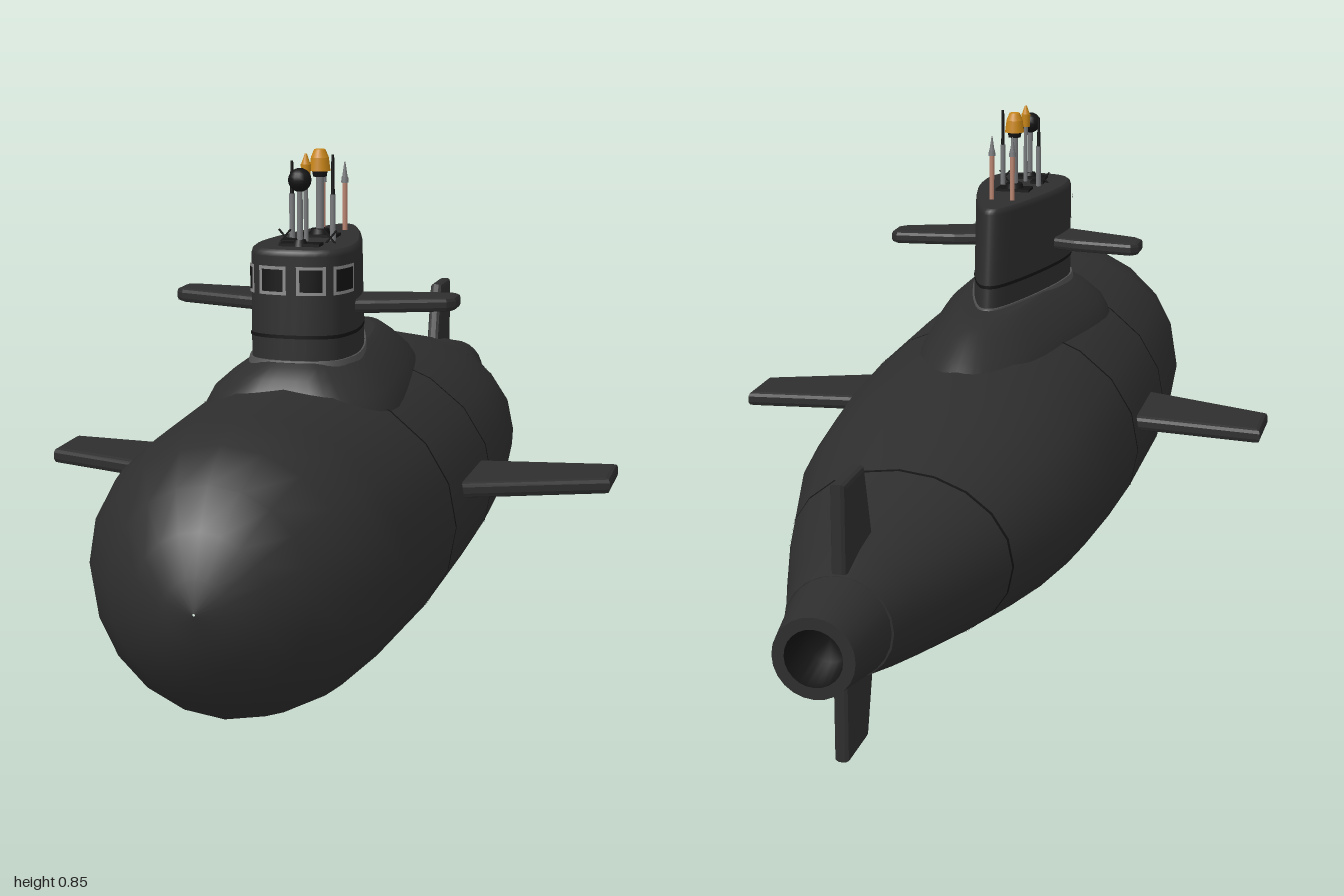
import * as THREE from 'three';

const mat = (name, color) => {
  const m = new THREE.MeshStandardMaterial({ color });
  m.name = name;
  return m;
};

// Skin a list of rings (each an array of Vector3), with optional flat cap on the last ring
function loft(rings, capEnd = false) {
  const n = rings[0].length, pos = [], idx = [];
  rings.forEach(r => r.forEach(p => pos.push(p.x, p.y, p.z)));
  for (let j = 0; j < rings.length - 1; j++) {
    for (let i = 0; i < n; i++) {
      const k = (i + 1) % n, a = j * n + i, b = a + n, c = j * n + k, d = c + n;
      idx.push(a, b, c, b, d, c);
    }
  }
  if (capEnd) {
    const last = rings[rings.length - 1], base = pos.length / 3;
    const mid = new THREE.Vector3();
    last.forEach(p => { pos.push(p.x, p.y, p.z); mid.addScaledVector(p, 1 / n); });
    pos.push(mid.x, mid.y, mid.z);
    for (let i = 0; i < n; i++) idx.push(base + i, base + n, base + (i + 1) % n);
  }
  const g = new THREE.BufferGeometry();
  g.setAttribute('position', new THREE.Float32BufferAttribute(pos, 3));
  g.setIndex(idx);
  g.computeVertexNormals();
  return g;
}

// Hull stations: z, top, bottom, half width
const HULL = [
  [0.998, 0.242, 0.238, 0.002], [0.99, 0.29, 0.19, 0.05], [0.965, 0.355, 0.14, 0.105],
  [0.92, 0.415, 0.078, 0.16], [0.85, 0.46, 0.03, 0.21], [0.78, 0.475, 0.012, 0.24],
  [0.71, 0.477, 0.006, 0.255], [0.42, 0.477, 0.002, 0.275], [0.1, 0.472, 0.008, 0.28],
  [-0.1, 0.46, 0.026, 0.273], [-0.22, 0.447, 0.038, 0.264], [-0.36, 0.432, 0.052, 0.243],
  [-0.55, 0.385, 0.086, 0.192], [-0.72, 0.356, 0.118, 0.138], [-0.81, 0.344, 0.136, 0.108],
  [-0.88, 0.325, 0.155, 0.088],
];
function hullRing(z, grow = 0) {
  let i = 0;
  while (i < HULL.length - 2 && HULL[i + 1][0] > z) i++;
  const A = HULL[i], B = HULL[i + 1], t = (z - A[0]) / (B[0] - A[0]);
  const [top, bot, w] = [1, 2, 3].map(k => A[k] + (B[k] - A[k]) * t);
  const h = (top - bot) / 2 + grow, cy = (top + bot) / 2;
  return Array.from({ length: 20 }, (_, k) => {
    const a = k / 20 * Math.PI * 2;
    return new THREE.Vector3((w + grow) * Math.sin(a), cy - h * Math.cos(a), z);
  });
}

// Plan outline: half template (width fraction, stern-to-bow fraction), mirrored and smoothed
const planCurve = half => new THREE.CatmullRomCurve3(
  [...half, ...half.slice(1, -1).reverse().map(([x, u]) => [-x, u])]
    .map(([x, u]) => new THREE.Vector3(x, 0, u)), true);
const planRing = (curve, y, back, front, w, n = 48) =>
  Array.from({ length: n }, (_, i) => {
    const p = curve.getPoint(i / n);
    return new THREE.Vector3(p.x * w, y, back + (front - back) * p.z);
  });
const SAIL = planCurve([[0, 0], [0.2, 0.03], [0.5, 0.2], [0.78, 0.43], [0.95, 0.62],
  [1, 0.78], [0.88, 0.91], [0.65, 0.97], [0, 1]]);
const FAIRING = planCurve([[0, 0], [0.36, 0.05], [0.68, 0.2], [0.92, 0.55], [1, 0.84],
  [0.65, 0.97], [0, 1]]);

// Flat outline given thickness, laid horizontally (x, z) or upright (z, y)
function plate(points, thick, upright) {
  const b = thick * 0.3;
  const shape = new THREE.Shape(points.map(([p, q]) =>
    upright ? new THREE.Vector2(-p, q) : new THREE.Vector2(p, -q)));
  const g = new THREE.ExtrudeGeometry(shape, {
    depth: thick - 2 * b, bevelEnabled: true, bevelSize: b, bevelOffset: -b,
    bevelThickness: b, bevelSegments: 2,
  });
  g.translate(0, 0, -thick / 2 + b);
  return upright ? g.rotateY(Math.PI / 2) : g.rotateX(-Math.PI / 2);
}

export function createModel() {
  const root = new THREE.Group();
  root.name = 'submarine';
  const hull = mat('hull charcoal', 0x2e2e2e), dark = mat('near black', 0x141414);
  const grey = mat('mast grey', 0x77797b), frame = mat('window frame grey', 0x8c8c8c);
  const trim = mat('base trim grey', 0x505050);
  const orange = mat('amber', 0xc98616), copper = mat('copper pink', 0xb98470);
  const add = (name, geo, m, parent = root) => {
    const mesh = new THREE.Mesh(geo, m);
    mesh.name = name;
    parent.add(mesh);
    return mesh;
  };

  // Pressure hull and panel seams
  add('hull', loft(HULL.map(s => hullRing(s[0])), true), hull);
  for (const z of [0.42, 0.1, -0.55])
    add('hullSeam', loft([hullRing(z + 0.003, 0.0012), hullRing(z - 0.003, 0.0012)]), dark);

  // Tail shroud, open at the stern
  const lathe = pts => new THREE.LatheGeometry(pts.map(p => new THREE.Vector2(...p)), 24)
    .rotateX(-Math.PI / 2).translate(0, 0.24, 0);
  add('tailShroud', lathe([[0.086, 0.868], [0.065, 1]]), hull);
  add('shroudRim', lathe([[0.065, 1], [0.046, 1]]), hull);
  add('shroudInside', lathe([[0.046, 1], [0.038, 0.92], [0, 0.92]]), dark);

  // Upper and lower rudders
  const rudder = [[-0.73, 0.31], [-0.775, 0.468], [-0.876, 0.468], [-0.876, 0.31]];
  add('upperRudder', plate(rudder, 0.026, true), hull);
  add('lowerRudder', plate(rudder.map(([z, y]) => [z, 0.484 - y]), 0.026, true), hull);

  // Hull planes and sail planes, mirrored
  for (const s of [1, -1]) {
    const side = s > 0 ? 'left' : 'right';
    const hp = plate([[0.2, 0.15], [0.2, 0.35], [0.51, 0.235], [0.51, 0.115]]
      .map(([x, z]) => [s * x, z]), 0.028, false);
    add(side + 'HullPlane', hp.translate(0, 0.279, 0), hull);
    const sp = plate([[0.05, 0.27], [0.05, 0.375], [0.12, 0.352], [0.235, 0.31], [0.248, 0.295],
      [0.248, 0.25], [0.235, 0.237], [0.12, 0.25]].map(([x, z]) => [s * x, z]), 0.024, false);
    add(side + 'SailPlane', sp.translate(0, 0.597, 0), hull);
  }

  // Fairing that blends the sail into the deck
  add('sailFairing', loft([
    [0.40, -0.24, 0.53, 0.172], [0.43, -0.21, 0.525, 0.163], [0.462, -0.165, 0.512, 0.146],
    [0.49, -0.12, 0.49, 0.115], [0.507, -0.08, 0.465, 0.092], [0.513, -0.03, 0.455, 0.08],
  ].map(a => planRing(FAIRING, ...a)), true), hull);

  // Sail with rounded top edge, groove and base trim
  add('sail', loft([
    [0.49, 0.034, 0.449, 0.089], [0.69, 0.056, 0.449, 0.088],
    [0.697, 0.059, 0.447, 0.086], [0.701, 0.065, 0.442, 0.081],
  ].map(a => planRing(SAIL, ...a)), true), hull);
  add('sailGroove', loft([0.553, 0.559].map(y => planRing(SAIL, y, 0.038, 0.451, 0.0905))), dark);
  add('sailBaseTrim', loft([[0.505, 0.026, 0.456, 0.095], [0.516, 0.03, 0.453, 0.092]]
    .map(a => planRing(SAIL, ...a)), true), trim);

  // Window frames wrapped around the front of the sail
  const path = new THREE.CatmullRomCurve3(planRing(SAIL, 0, 0.049, 0.451, 0.0905, 96), true);
  const wrap = (name, u0, u1, y0, y1, m) => {
    const g = new THREE.PlaneGeometry(1, 1, 8, 1), p = g.attributes.position;
    for (let i = 0; i < p.count; i++) {
      const c = path.getPointAt(u1 + (u0 - u1) * (p.getX(i) + 0.5));
      p.setXYZ(i, c.x, y0 + (y1 - y0) * (p.getY(i) + 0.5), c.z);
    }
    g.computeVertexNormals();
    add(name, g, m);
  };
  const du = 0.006, dy = 0.0055;
  for (const [a, b] of [[0.36, 0.425], [0.439, 0.491], [0.509, 0.561], [0.575, 0.64]]) {
    wrap('windowGlass', a + du, b - du, 0.626 + dy, 0.674 - dy, dark);
    wrap('windowFrameBottom', a, b, 0.626, 0.626 + dy, frame);
    wrap('windowFrameTop', a, b, 0.674 - dy, 0.674, frame);
    wrap('windowFrameSide', a, a + du, 0.626 + dy, 0.674 - dy, frame);
    wrap('windowFrameSide', b - du, b, 0.626 + dy, 0.674 - dy, frame);
  }

  // Masts: stacked tapered tubes [y0, y1, r0, r1, material]
  const mast = (name, x, z, parts) => {
    const g = new THREE.Group();
    g.name = name;
    g.position.set(x, 0, z);
    for (const [y0, y1, r0, r1, m] of parts)
      add(name + 'Section', new THREE.CylinderGeometry(r1, r0, y1 - y0, 12)
        .translate(0, (y0 + y1) / 2, 0), m, g);
    root.add(g);
    return g;
  };
  const radar = mast('sensorMast', 0, 0.39, [[0.7, 0.712, 0.014, 0.01, dark],
    [0.71, 0.8, 0.005, 0.005, grey]]);
  add('sensorHead', new THREE.SphereGeometry(0.02, 14, 10).translate(0, 0.812, 0), dark, radar);
  mast('signalMast', 0, 0.35, [[0.7, 0.81, 0.004, 0.004, grey],
    [0.81, 0.835, 0.008, 0.009, orange], [0.835, 0.852, 0.008, 0.002, orange]]);
  mast('beaconMast', 0, 0.255, [[0.7, 0.715, 0.02, 0.016, dark], [0.715, 0.805, 0.007, 0.007, grey],
    [0.805, 0.815, 0.012, 0.014, dark], [0.815, 0.838, 0.019, 0.016, orange],
    [0.838, 0.852, 0.016, 0.01, orange]]);
  for (const s of [1, -1]) {
    mast('whipMast', s * 0.036, 0.307, [[0.7, 0.78, 0.005, 0.005, grey],
      [0.78, s > 0 ? 0.848 : 0.836, 0.0035, 0.0025, dark]]);
    mast('antennaMast', s * 0.02, 0.155, [[0.7, 0.785, 0.0045, 0.0045, copper],
      [0.785, 0.795, 0.007, 0.006, grey], [0.795, 0.822, 0.005, 0.001, grey]]);
    // Short slanted whiskers on the sail roof
    for (const tilt of [-0.7, 0.7]) {
      const rod = add('roofWhisker', new THREE.CylinderGeometry(0.0018, 0.0018, 0.032, 6), dark);
      rod.position.set(s * 0.04, 0.71, 0.34);
      rod.rotation.z = tilt;
    }
  }
  // Roof hatch plates
  for (const [x, z, w, d] of [[0, 0.255, 0.065, 0.04], [-0.028, 0.34, 0.026, 0.03], [0, 0.385, 0.07, 0.03]])
    add('roofHatch', new THREE.BoxGeometry(w, 0.006, d).translate(x, 0.703, z), dark);
  return root;
}
